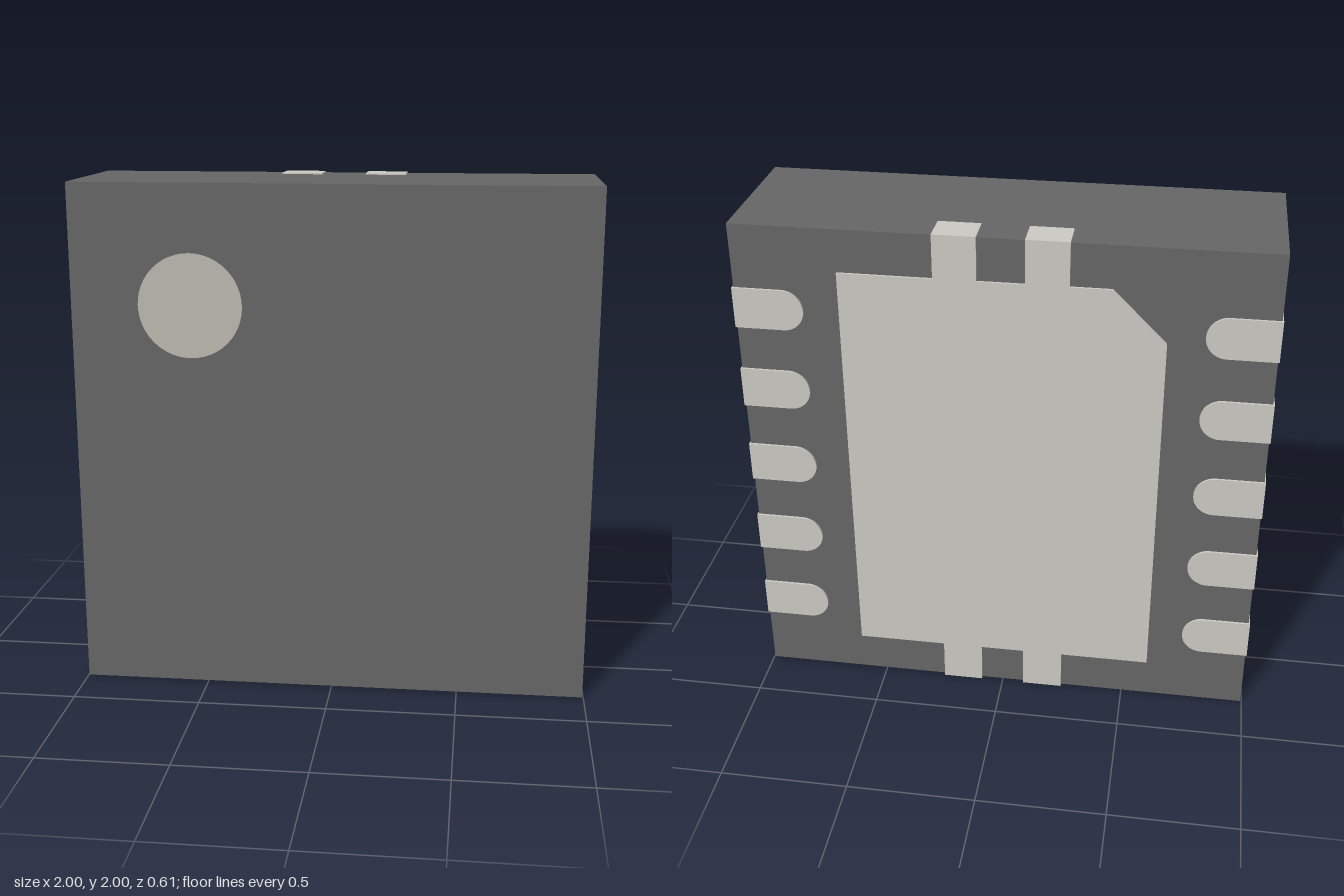
import * as THREE from 'three';

const BACK = -0.305;      // outer plane of the contacts
const PAD_DEPTH = 0.13;   // how far the contacts wrap up the sides
const PAD_HALF = 0.08;    // half width of a contact

const bodyMat = new THREE.MeshStandardMaterial({ color: 0x666666 });
const metalMat = new THREE.MeshStandardMaterial({ color: 0xcccac4 });
const markMat = new THREE.MeshStandardMaterial({ color: 0xbcb9af });

function add(parent, name, geometry, material, x = 0, y = 0, z = 0) {
  const mesh = new THREE.Mesh(geometry, material);
  mesh.name = name;
  mesh.position.set(x, y, z);
  parent.add(mesh);
  return mesh;
}

const extrude = (shape) =>
  new THREE.ExtrudeGeometry(shape, { depth: PAD_DEPTH, bevelEnabled: false, curveSegments: 16 });

// Side contact: straight outer end at x = 1, round inner end
function contactShape() {
  const s = new THREE.Shape();
  s.moveTo(1, -PAD_HALF);
  s.lineTo(1, PAD_HALF);
  s.lineTo(0.735 + PAD_HALF, PAD_HALF);
  s.absarc(0.735 + PAD_HALF, 0, PAD_HALF, Math.PI / 2, Math.PI * 1.5, false);
  s.closePath();
  return s;
}

// Central pad with one cut corner and two tabs reaching each edge
function thermalPadShape() {
  const w = 0.6, h = 0.83, cut = 0.2, tab = 0.167;
  const pts = [[-w, -h]];
  for (const c of [-tab, tab])
    pts.push([c - PAD_HALF, -h], [c - PAD_HALF, -1], [c + PAD_HALF, -1], [c + PAD_HALF, -h]);
  pts.push([w, -h], [w, h]);
  for (const c of [tab, -tab])
    pts.push([c + PAD_HALF, h], [c + PAD_HALF, 1], [c - PAD_HALF, 1], [c - PAD_HALF, h]);
  pts.push([-w + cut, h], [-w, h - cut]);
  return new THREE.Shape(pts.map(([x, y]) => new THREE.Vector2(x, y)));
}

export function createModel() {
  const model = new THREE.Group();
  model.name = 'chipPackage';

  // Moulded body
  add(model, 'body', new THREE.BoxGeometry(1.99, 1.99, 0.6), bodyMat, 0, 1, 0.004);

  // Round marker on the front
  const disc = new THREE.CylinderGeometry(0.2, 0.2, 0.02, 48).rotateX(Math.PI / 2);
  add(model, 'pinOneMarker', disc, markMat, -0.535, 1.535, 0.296);

  // Central pad on the back
  add(model, 'thermalPad', extrude(thermalPadShape()), metalMat, 0, 1, BACK);

  // Five contacts along each side
  const contact = extrude(contactShape());
  const mirrored = contact.clone().rotateZ(Math.PI);
  for (let i = 0; i < 5; i++) {
    const y = 1 + (i - 2) / 3;
    add(model, 'leftContact' + (i + 1), contact, metalMat, 0, y, BACK);
    add(model, 'rightContact' + (i + 1), mirrored, metalMat, 0, y, BACK);
  }
  return model;
}
